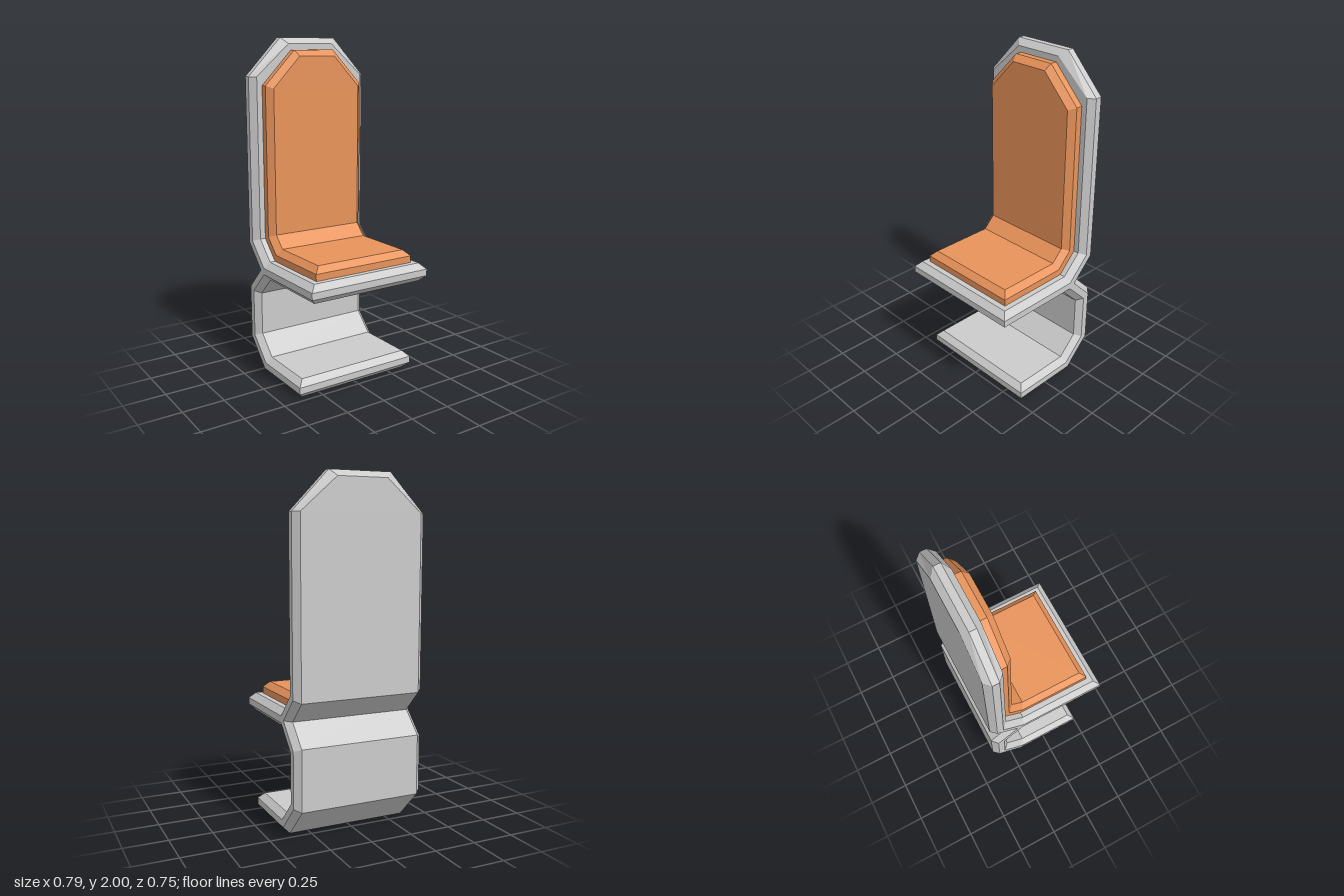
import * as THREE from 'three';

// Sweeps a bevelled slab along a side-on path.
// Station: [z, y, halfWidth, side bevel factor = 1, bevel shift back along the path = 0]
// Layers: [offset towards the outer (under/back) side, bevel inset]
function sweepSlab(name, path, layers, material) {
  const n = layers.length;
  const dirs = path.slice(1).map((p, i) =>
    new THREE.Vector2(p[0] - path[i][0], p[1] - path[i][1]).normalize());
  const rings = path.map(([z, y, w, side = 1, shift = 0], i) => {
    const d1 = dirs[Math.max(i - 1, 0)], d2 = dirs[Math.min(i, dirs.length - 1)];
    const k = 1 / (1 + d1.dot(d2)); // mitred normal at the bend
    const nz = -(d1.y + d2.y) * k, ny = (d1.x + d2.x) * k;
    const edge = (sign) => layers.map(([off, inset]) => [
      sign * (w - inset * side),
      y + ny * off - d1.y * inset * shift,
      z + nz * off - d1.x * inset * shift,
    ]);
    return [...edge(1), ...edge(-1).reverse()];
  });

  const pos = [];
  const quad = (a, b, c, d) => pos.push(...a, ...b, ...c, ...a, ...c, ...d);
  for (let i = 0; i < rings.length - 1; i++) {
    const r = rings[i], s = rings[i + 1];
    for (let k = 0; k < 2 * n; k++) {
      const l = (k + 1) % (2 * n);
      quad(r[k], r[l], s[l], s[k]);
    }
  }
  // End caps, one strip between each pair of layers
  const a = rings[0], b = rings[rings.length - 1], last = 2 * n - 1;
  for (let j = 0; j < n - 1; j++) {
    quad(a[j], a[last - j], a[last - j - 1], a[j + 1]);
    quad(b[j], b[j + 1], b[last - j - 1], b[last - j]);
  }

  const geometry = new THREE.BufferGeometry();
  geometry.setAttribute('position', new THREE.Float32BufferAttribute(pos, 3));
  geometry.computeVertexNormals();
  const mesh = new THREE.Mesh(geometry, material);
  mesh.name = name;
  return mesh;
}

export function createModel() {
  const group = new THREE.Group();
  group.name = 'chair';
  const grey = new THREE.MeshStandardMaterial({ color: 0xcccccc, flatShading: true });
  const orange = new THREE.MeshStandardMaterial({ color: 0xe8935a, flatShading: true });

  const shellLayers = [[0, 0.035], [0.035, 0], [0.075, 0], [0.11, 0.035]];
  const cushionLayers = [[-0.075, 0.035], [-0.04, 0], [0, 0]];
  const W = 0.395, C = 0.327;

  // Seat and backrest shell with a clipped top
  group.add(sweepSlab('seatShell', [
    [0.378, 0.71, W, 1, -1],
    [-0.15, 0.71, W],
    [-0.265, 0.825, W],
    [-0.265, 1.78, W],
    [-0.265, 2.0, 0.184, 1, 1],
  ], shellLayers, grey));

  // C-shaped base, its upper end buried in the seat bend
  group.add(sweepSlab('base', [
    [0.24, 0.11, W, 1, -1],
    [-0.15, 0.11, W],
    [-0.265, 0.225, W],
    [-0.265, 0.485, W],
    [-0.125, 0.625, W],
  ], shellLayers, grey));

  // Cushion lying on the seat and backrest
  group.add(sweepSlab('cushion', [
    [0.31, 0.71, C, 1, -1],
    [-0.15, 0.71, C],
    [-0.265, 0.825, C],
    [-0.265, 1.73, C, 1, 0.42],
    [-0.265, 1.93, 0.133, 0.42, 1],
  ], cushionLayers, orange));

  return group;
}
